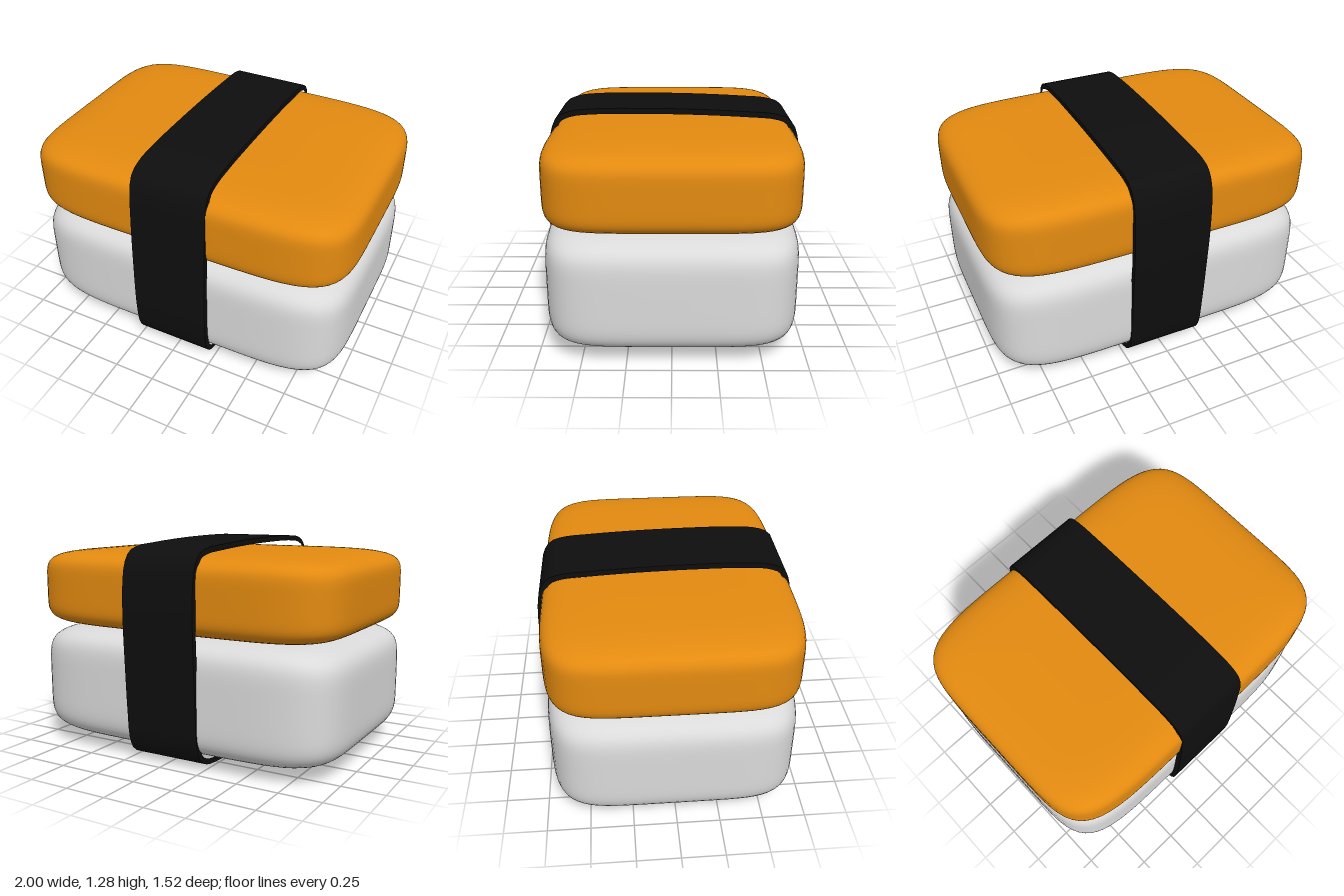
import * as THREE from 'three';
import { toCreasedNormals } from 'three/addons/utils/BufferGeometryUtils.js';

const orange = new THREE.MeshStandardMaterial({ color: 0xe38a10 });
orange.name = 'orange';
const white = new THREE.MeshStandardMaterial({ color: 0xdadada });
white.name = 'white';
const black = new THREE.MeshStandardMaterial({ color: 0x0e0e0e });
black.name = 'black';

// Pillow-like block: a cube pushed onto a superellipsoid, with exact smooth normals
function pillow(name, material, hx, hy, hz, y) {
  const P = 6;
  const geo = new THREE.BoxGeometry(2, 2, 2, 28, 28, 28);
  const pos = geo.attributes.position;
  const v = new THREE.Vector3();
  const n = new THREE.Vector3();
  for (let i = 0; i < pos.count; i++) {
    v.fromBufferAttribute(pos, i);
    const len = (Math.abs(v.x) ** P + Math.abs(v.y) ** P + Math.abs(v.z) ** P) ** (1 / P);
    v.divideScalar(len);
    n.set(v.x ** 5 / hx, v.y ** 5 / hy, v.z ** 5 / hz).normalize();
    pos.setXYZ(i, v.x * hx, v.y * hy, v.z * hz);
    geo.attributes.normal.setXYZ(i, n.x, n.y, n.z);
  }
  const mesh = new THREE.Mesh(geo, material);
  mesh.name = name;
  mesh.position.y = y;
  return mesh;
}

// Thin wrap: a closed loop in the z-y plane, given thickness and extruded along x
function wrap() {
  const width = 0.466, thickness = 0.033;
  const outline = [
    [0.19, 1.28], [0.45, 1.277], [0.6, 1.262], [0.68, 1.225], [0.715, 1.15],
    [0.735, 0.95], [0.752, 0.6], [0.757, 0.3], [0.742, 0.15], [0.705, 0.075],
    [0.64, 0.042], [0.5, 0.026], [0.15, 0.009], [-0.22, 0.002], [-0.5, 0.005],
    [-0.61, 0.018], [-0.68, 0.058], [-0.715, 0.13], [-0.732, 0.3], [-0.748, 0.6],
    [-0.757, 0.85], [-0.75, 1.05], [-0.727, 1.16], [-0.68, 1.222], [-0.6, 1.248],
    [-0.45, 1.26], [-0.15, 1.274],
  ].map(([z, y]) => new THREE.Vector3(z, y, 0));
  const curve = new THREE.CatmullRomCurve3(outline, true);
  const outer = [], inner = [];
  const N = 120;
  for (let i = 0; i < N; i++) {
    const p = curve.getPointAt(i / N);
    const t = curve.getTangentAt(i / N);
    outer.push(new THREE.Vector2(p.x, p.y));
    inner.push(new THREE.Vector2(p.x + t.y * thickness, p.y - t.x * thickness));
  }
  const shape = new THREE.Shape(outer);
  shape.holes.push(new THREE.Path(inner));
  const geo = new THREE.ExtrudeGeometry(shape, { depth: width, bevelEnabled: false });
  geo.translate(0, 0, -width / 2);
  geo.rotateY(-Math.PI / 2);
  const mesh = new THREE.Mesh(toCreasedNormals(geo, 0.7), black);
  mesh.name = 'wrapBand';
  return mesh;
}

export function createModel() {
  const group = new THREE.Group();
  group.name = 'wrappedBlock';
  group.add(
    pillow('lowerBlock', white, 1, 0.35, 0.722, 0.4),
    pillow('upperTopping', orange, 1, 0.238, 0.724, 0.975),
    wrap(),
  );
  return group;
}
